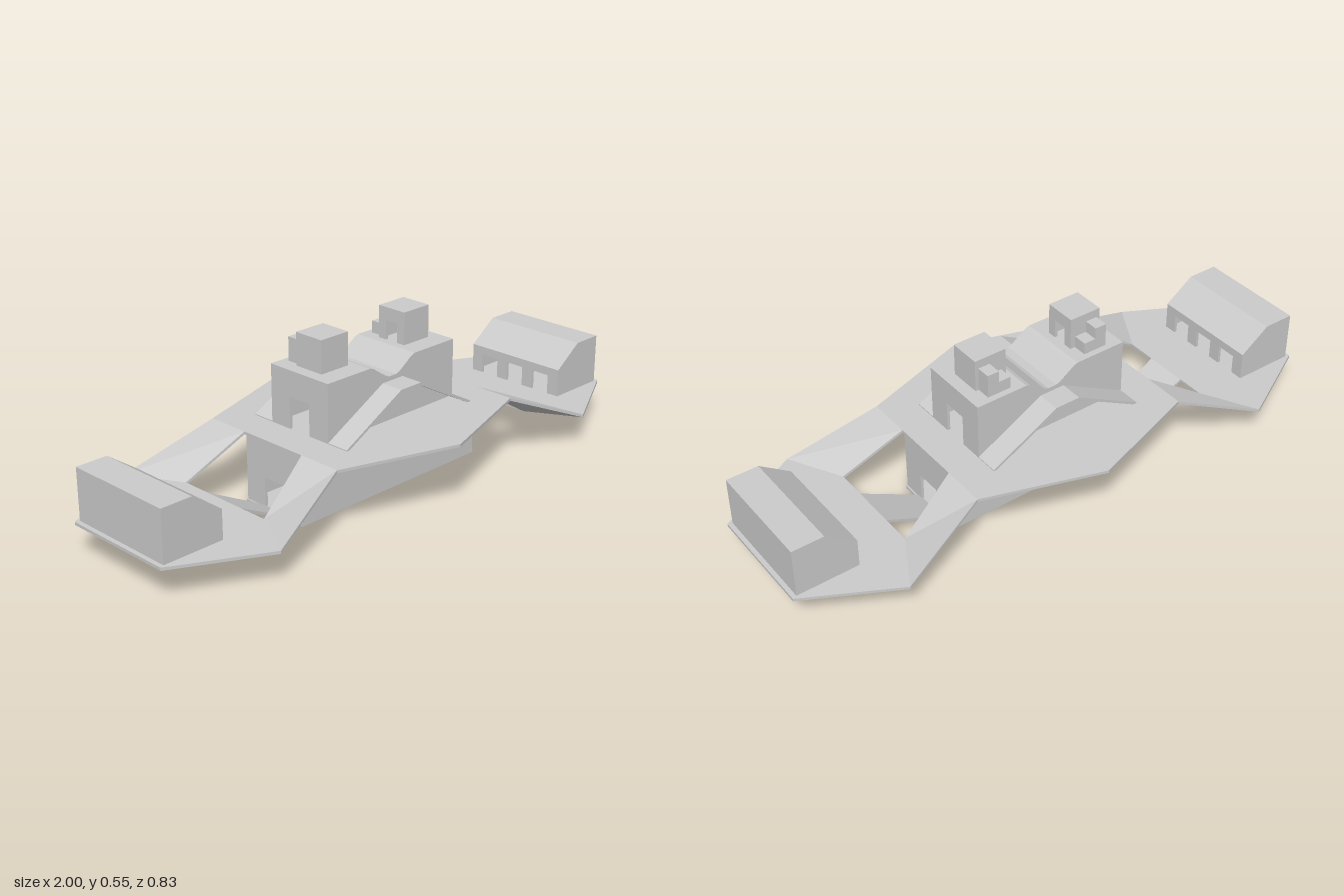
import * as THREE from 'three';

const T = 0.01; // wall thickness
const grey = new THREE.MeshStandardMaterial({ color: 0xcccccc, flatShading: true, side: THREE.DoubleSide });

function add(parent, name, geometry) {
  const mesh = new THREE.Mesh(geometry, grey);
  mesh.name = name;
  parent.add(mesh);
  return mesh;
}

function group(parent, name) {
  const g = new THREE.Group();
  g.name = name;
  parent.add(g);
  return g;
}

// Box given by its limits on each axis
function box(parent, name, x0, x1, y0, y1, z0, z1) {
  const g = new THREE.BoxGeometry(x1 - x0, y1 - y0, z1 - z0);
  g.translate((x0 + x1) / 2, (y0 + y1) / 2, (z0 + z1) / 2);
  return add(parent, name, g);
}

// Outline in x and y, extruded from z0 to z1
function slice(parent, name, pts, z0, z1) {
  const shape = new THREE.Shape(pts.map(([x, y]) => new THREE.Vector2(x, y)));
  const g = new THREE.ExtrudeGeometry(shape, { depth: z1 - z0, bevelEnabled: false });
  g.translate(0, 0, z0);
  return add(parent, name, g);
}

// Thin folded roof following a line in x and y
function roof(parent, name, line, z0, z1) {
  const under = line.map(([x, y]) => [x, y - T]).reverse();
  return slice(parent, name, [...line, ...under], z0, z1);
}

// Wall across x with door openings; x is its higher face
function doorWall(parent, name, x, y0, y1, halfZ, doorZs, doorW, doorTop) {
  const pts = [[-halfZ, y0]];
  for (const z of doorZs) {
    pts.push([z - doorW / 2, y0], [z - doorW / 2, doorTop], [z + doorW / 2, doorTop], [z + doorW / 2, y0]);
  }
  pts.push([halfZ, y0], [halfZ, y1], [-halfZ, y1]);
  const shape = new THREE.Shape(pts.map(([z, y]) => new THREE.Vector2(z, y)));
  const g = new THREE.ExtrudeGeometry(shape, { depth: T, bevelEnabled: false });
  g.rotateY(-Math.PI / 2);
  g.translate(x, 0, 0);
  return add(parent, name, g);
}

// Thin plate under a convex ring of corners, which may be folded
function plate(parent, name, ring) {
  const area = ring.reduce((s, [x, , z], i) => {
    const [x2, , z2] = ring[(i + 1) % ring.length];
    return s + x * z2 - x2 * z;
  }, 0);
  const top = area < 0 ? ring : [...ring].reverse();
  const n = top.length, pos = [], index = [];
  for (const [x, y, z] of top) pos.push(x, y, z);
  for (const [x, y, z] of top) pos.push(x, y - T, z);
  for (let i = 1; i < n - 1; i++) index.push(0, i, i + 1, n, n + i + 1, n + i);
  for (let i = 0; i < n; i++) {
    const j = (i + 1) % n;
    index.push(i, n + i, n + j, i, n + j, j);
  }
  const g = new THREE.BufferGeometry();
  g.setAttribute('position', new THREE.Float32BufferAttribute(pos, 3));
  g.setIndex(index);
  g.computeVertexNormals();
  return add(parent, name, g);
}

const DECK = 0.242, PAD = 0.117;

// Landing pad, ramps, bridge and hangar on the +x side
function buildWing(parent, name) {
  const wing = group(parent, name);
  plate(wing, 'landingPad', [
    [0.6, PAD, 0.18], [0.7, PAD, 0.362], [1, PAD, 0.2],
    [1, PAD, -0.2], [0.7, PAD, -0.362], [0.6, PAD, -0.18],
  ]);
  for (const s of [1, -1]) {
    plate(wing, 'ramp', [
      [0.4, DECK, 0.13 * s], [0.4, DECK, 0.283 * s], [0.7, PAD, 0.362 * s], [0.6, PAD, 0.18 * s],
    ]);
  }
  plate(wing, 'lowerBridge', [
    [0.39, T, 0.065], [0.6, PAD, 0.077], [0.6, PAD, -0.077], [0.39, T, -0.065],
  ]);

  const hangar = group(wing, 'hangar');
  const end = [[0.77, 0.115], [0.985, 0.115], [0.985, 0.29], [0.875, 0.29], [0.77, 0.215]];
  slice(hangar, 'hangarEndWall', end, 0.185, 0.195);
  slice(hangar, 'hangarEndWall', end, -0.195, -0.185);
  box(hangar, 'hangarBackWall', 0.975, 0.985, 0.115, 0.289, -0.195, 0.195);
  roof(hangar, 'hangarRoof', [[0.77, 0.215], [0.875, 0.29], [0.985, 0.29]], -0.195, 0.195);
  doorWall(hangar, 'hangarDoorWall', 0.78, 0.115, 0.214, 0.195, [-0.115, 0, 0.115], 0.07, 0.185);
  return wing;
}

// Roof hut with its door facing inward and two small boxes behind it
function buildHut(parent, s) {
  const hut = group(parent, s > 0 ? 'leftHut' : 'rightHut');
  const x = (a, b) => (s > 0 ? [a, b] : [-b, -a]);
  box(hut, 'hutRoof', ...x(0.127, 0.242), 0.54, 0.55, -0.056, 0.056);
  box(hut, 'hutOuterWall', ...x(0.232, 0.242), 0.438, 0.54, -0.056, 0.056);
  for (const z of [-0.056, 0.046]) box(hut, 'hutSideWall', ...x(0.127, 0.242), 0.438, 0.54, z, z + T);
  doorWall(hut, 'hutDoorWall', x(0.127, 0.137)[1], 0.438, 0.54, 0.056, [0], 0.05, 0.505);
  box(hut, 'tallCrate', ...x(0.188, 0.23), 0.438, 0.52, -0.105, -0.056);
  box(hut, 'lowCrate', ...x(0.145, 0.188), 0.438, 0.48, -0.105, -0.056);
}

export function createModel() {
  const model = new THREE.Group();
  model.name = 'station';

  // Main deck
  plate(model, 'mainDeck', [
    [0, DECK, 0.415], [0.4, DECK, 0.283], [0.4, DECK, -0.283],
    [0, DECK, -0.415], [-0.4, DECK, -0.283], [-0.4, DECK, 0.283],
  ]);

  // Lower hall, open at both ends through doors
  const hall = group(model, 'lowerHall');
  box(hall, 'hallFloor', -0.4, 0.4, 0, T, -0.127, 0.127);
  for (const z of [-0.127, 0.117]) box(hall, 'hallSideWall', -0.395, 0.395, 0, 0.235, z, z + T);
  for (const x of [0.395, -0.385]) doorWall(hall, 'hallDoorWall', x, T, 0.235, 0.127, [0], 0.09, 0.11);

  // Upper house with a dipped roof
  const house = group(model, 'upperHouse');
  const dip = [
    [-0.285, 0.439], [-0.1, 0.439], [-0.085, 0.433], [-0.03, 0.395], [-0.015, 0.39],
    [0.015, 0.39], [0.03, 0.395], [0.085, 0.433], [0.1, 0.439], [0.285, 0.439],
  ];
  const face = [[-0.285, 0.24], ...dip, [0.285, 0.24]];
  roof(house, 'houseRoof', dip, -0.127, 0.127);
  slice(house, 'houseFrontWall', face, 0.117, 0.127);
  slice(house, 'houseBackWall', face, -0.127, -0.117);
  for (const x of [0.285, -0.275]) doorWall(house, 'houseDoorWall', x, 0.24, 0.438, 0.127, [0], 0.087, 0.35);

  // Sloped canopies on the front and back of the house
  const canopy = [[-0.285, 0.245], [-0.045, 0.375], [0.045, 0.375], [0.285, 0.245]];
  roof(house, 'frontCanopy', canopy, 0.125, 0.207);
  roof(house, 'backCanopy', canopy, -0.207, -0.125);

  for (const s of [1, -1]) buildHut(house, s);

  buildWing(model, 'leftWing');
  buildWing(model, 'rightWing').rotation.y = Math.PI;
  return model;
}
